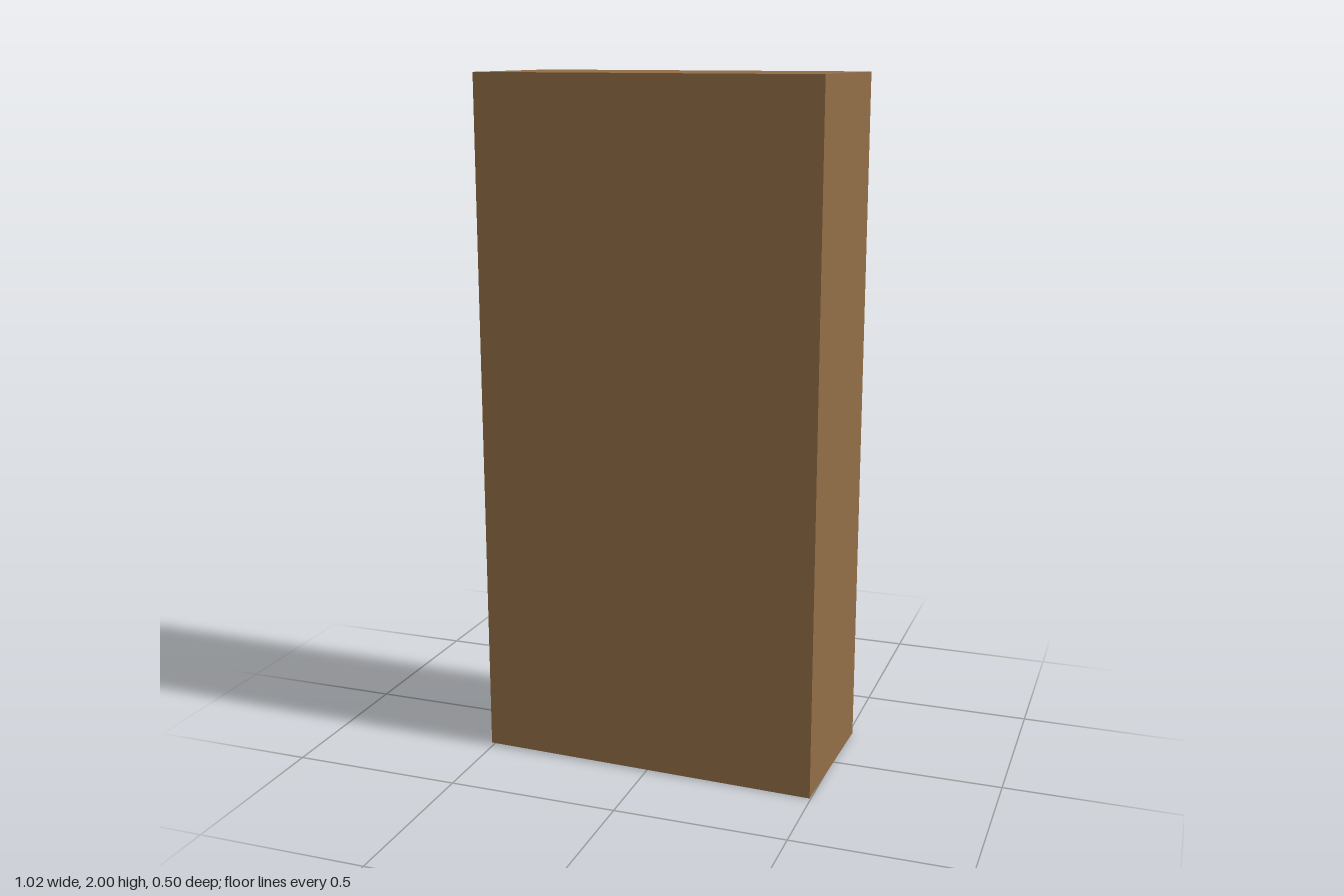
import * as THREE from 'three';

const mat = (name, color) => {
  const m = new THREE.MeshStandardMaterial({ color });
  m.name = name;
  return m;
};

// Case size and board thicknesses
const W = 1.008, H = 2, D = 0.466;
const SIDE = 0.02, BOARD = 0.035, BACK = 0.009, RECESS = 0.01;
// Book size: thickness, height, depth, cover board
const T = 0.0978, BH = 0.308, BD = 0.25, COVER = 0.017;

export function createModel() {
  const wood = mat('wood', 0x926e46);
  const pages = mat('pages', 0xe4e4e2);
  const blue = mat('blue cover', 0x0f66ac);
  const orange = mat('orange cover', 0x9f4a2a);
  const green = mat('green cover', 0x2f6611);
  const maroon = mat('maroon cover', 0x883331);

  const model = new THREE.Group();
  model.name = 'bookcase';
  // The open side faces +z here; the whole case is turned around at the end
  const unit = new THREE.Group();
  unit.name = 'case and books';
  model.add(unit);

  const box = (parent, name, material, w, h, d, x, y, z) => {
    const m = new THREE.Mesh(new THREE.BoxGeometry(w, h, d), material);
    m.name = name;
    m.position.set(x, y, z);
    parent.add(m);
    return m;
  };

  // Carcass
  const inner = W - 2 * SIDE;
  for (const s of [-1, 1]) {
    box(unit, 'sidePanel', wood, SIDE, H, D, s * (W - SIDE) / 2, H / 2, 0);
  }
  box(unit, 'topBoard', wood, inner, BOARD, D, 0, H - BOARD / 2, 0);
  box(unit, 'bottomBoard', wood, inner, BOARD, D, 0, BOARD / 2, 0);
  box(unit, 'backPanel', wood, inner, H - 2 * BOARD, BACK, 0, H / 2, (BACK - D) / 2);

  // Shelves, set back a little from the front edge
  const shelfTops = [0.36, 0.827, 1.256, 1.68];
  const shelfDepth = D - BACK - RECESS;
  for (const y of shelfTops) {
    box(unit, 'shelf', wood, inner, BOARD, shelfDepth, 0, y - BOARD / 2, (BACK - RECESS) / 2);
  }

  // Book with its origin at the lower right corner of the spine; angle tips it to the right
  const book = (cover, x, y, z, angle = 0) => {
    const g = new THREE.Group();
    g.name = 'book';
    for (const cx of [-COVER / 2, -T + COVER / 2]) {
      box(g, 'coverBoard', cover, COVER, BH, BD, cx, BH / 2, -BD / 2);
    }
    box(g, 'spine', cover, T - 2 * COVER, BH, COVER, -T / 2, BH / 2, -COVER / 2);
    box(g, 'pageBlock', pages, T - 2 * COVER, BH - 0.024, BD - COVER - 0.012,
      -T / 2, BH / 2, -(BD + COVER - 0.012) / 2);
    g.position.set(x, y, z);
    g.rotation.z = -angle;
    unit.add(g);
  };

  // Upright row ending at the right wall, with one more book leaning on it
  const wall = W / 2 - SIDE;
  const spineZ = 0.143;
  const row = (y, covers, leaning, angle) => {
    covers.forEach((c, i) => book(c, wall - (covers.length - 1 - i) * T, y, spineZ));
    const start = wall - covers.length * T;
    book(leaning, start - BH * Math.sin(angle), y, spineZ, angle);
  };
  row(shelfTops[0], [orange, green, maroon, blue], blue, 0.19);
  row(shelfTops[1], [maroon], green, 0.3);
  row(shelfTops[2], [orange, green, maroon, blue, orange, green, maroon, blue], blue, 0.15);

  // Pile of books lying flat
  [[maroon, -0.435], [green, -0.395], [orange, -0.29]].forEach(([c, x], i) => {
    book(c, x, shelfTops[1] + i * T, 0.155, Math.PI / 2);
  });

  unit.rotation.y = Math.PI - 0.032;
  return model;
}
